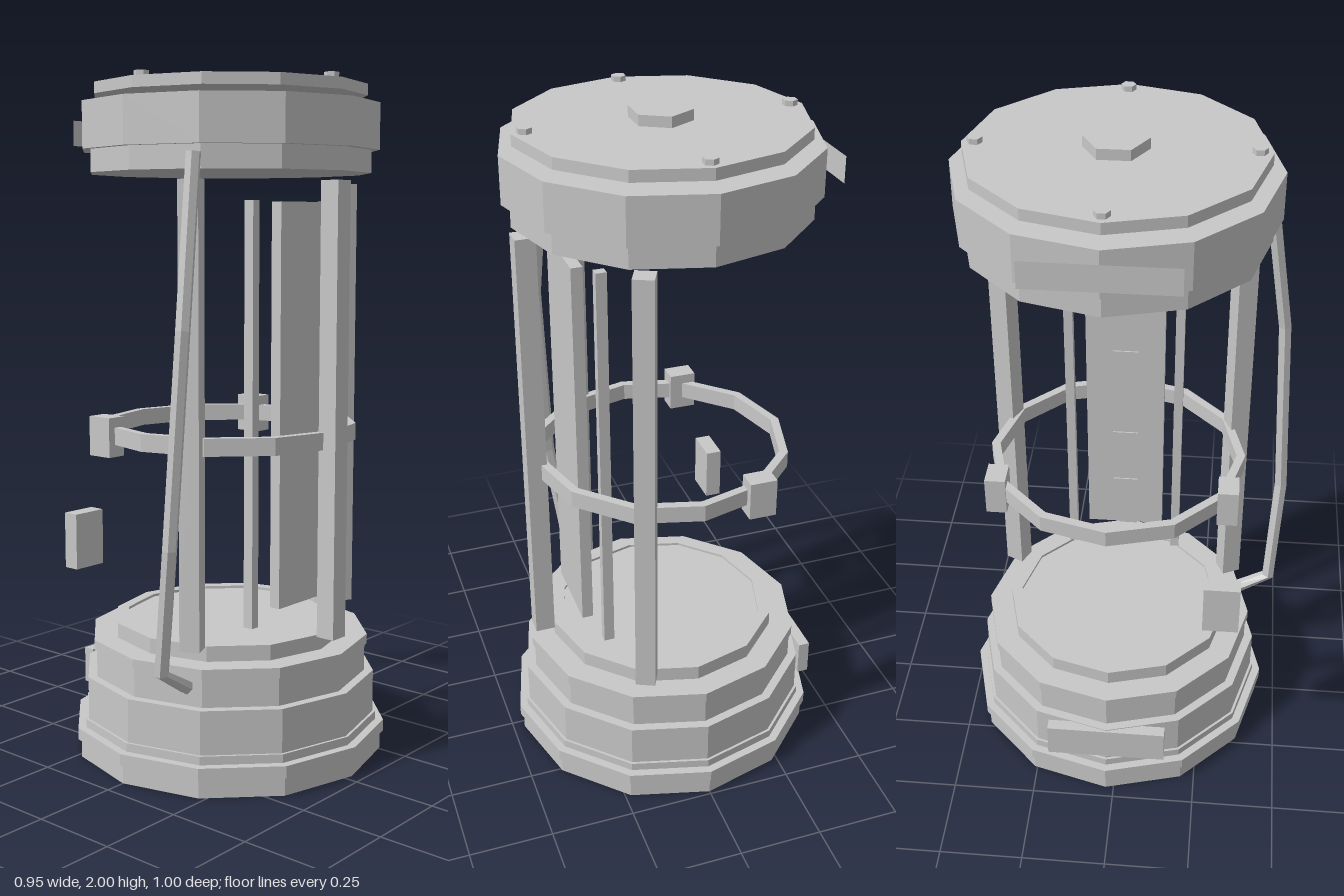
import * as THREE from 'three';

const grey = new THREE.MeshStandardMaterial({ color: 0xc8c8c8, flatShading: true, side: THREE.DoubleSide });
grey.name = 'plainGrey';

function add(parent, name, geometry, x = 0, y = 0, z = 0, turn = 0) {
  const mesh = new THREE.Mesh(geometry, grey);
  mesh.name = name;
  mesh.position.set(x, y, z);
  mesh.rotation.y = turn;
  parent.add(mesh);
  return mesh;
}

// Upright prism between two heights
function disc(parent, name, r, y0, y1, sides = 12, x = 0, z = 0) {
  return add(parent, name, new THREE.CylinderGeometry(r, r, y1 - y0, sides), x, (y0 + y1) / 2, z);
}

// Twelve-sided turned part from [radius, height] pairs
function turned(parent, name, profile) {
  const points = profile.map(([r, y]) => new THREE.Vector2(r, y));
  return add(parent, name, new THREE.LatheGeometry(points, 12));
}

// Curve with straight runs between its points
class Polyline extends THREE.Curve {
  constructor(points) { super(); this.points = points; }
  getPoint(t, target = new THREE.Vector3()) {
    const n = this.points.length - 1;
    const i = Math.min(Math.floor(t * n), n - 1);
    return target.lerpVectors(this.points[i], this.points[i + 1], t * n - i);
  }
  getPointAt(t, target) { return this.getPoint(t, target); }
  getTangentAt(t, target) { return this.getTangent(t, target); }
}

export function createModel() {
  const model = new THREE.Group();
  model.name = 'cylindricalChamber';
  const body = new THREE.Group();
  body.name = 'chamberBody';
  body.position.z = -0.025;
  model.add(body);

  // Stepped base with a shallow seat on top
  turned(body, 'base', [[0, 0], [0.465, 0], [0.465, 0.055], [0.475, 0.055], [0.475, 0.09], [0.45, 0.09],
    [0.45, 0.115], [0.442, 0.115], [0.442, 0.243], [0.415, 0.243], [0.415, 0.325], [0.422, 0.325],
    [0.422, 0.355], [0.35, 0.355], [0.35, 0.4], [0.315, 0.4], [0.315, 0.392], [0, 0.392]]);

  // Lid, raised top plate, hub and bolts
  turned(body, 'lid', [[0, 1.72], [0.415, 1.72], [0.415, 1.785], [0.438, 1.785], [0.438, 1.918], [0, 1.918]]);
  disc(body, 'topPlate', 0.402, 1.938, 1.97);
  disc(body, 'topHub', 0.088, 1.97, 2, 6);
  for (let i = 0; i < 4; i++) {
    const a = i * Math.PI / 2;
    disc(body, 'topBolt', 0.021, 1.97, 1.985, 6, 0.366 * Math.cos(a), 0.366 * Math.sin(a));
  }

  // Posts
  for (const deg of [-65, 0, 65]) {
    const a = THREE.MathUtils.degToRad(deg);
    add(body, 'post', new THREE.BoxGeometry(0.058, 1.295, 0.058),
      0.385 * Math.cos(a), 1.047, 0.385 * Math.sin(a), -a);
  }

  // Side panel with small slots
  add(body, 'panel', new THREE.BoxGeometry(0.033, 1.147, 0.243), 0.274, 1.063, 0);
  for (const y of [1.36, 1.17, 0.86, 0.67]) {
    add(body, 'panelSlot', new THREE.BoxGeometry(0.006, 0.01, 0.08), 0.256, y, 0);
  }

  // Middle ring with a flat section
  turned(body, 'middleRing', [[0.354, 0.945], [0.38, 0.945], [0.38, 0.995], [0.354, 0.995], [0.354, 0.945]]);

  // Rods beside the panel and clamps on the ring
  for (const s of [-1, 1]) {
    add(body, 'rod', new THREE.BoxGeometry(0.031, 1.205, 0.027), 0.225, 1.037, s * 0.168);
    add(body, 'ringClamp', new THREE.BoxGeometry(0.08, 0.115, 0.06), -0.18, 0.967, s * 0.335);
  }

  // Side plates and the loose block
  add(body, 'lidPlate', new THREE.PlaneGeometry(0.4, 0.075), -0.444, 1.845, 0, -Math.PI / 2);
  add(body, 'basePlate', new THREE.BoxGeometry(0.035, 0.11, 0.36), -0.43, 0.185, 0);
  add(model, 'sideBlock', new THREE.BoxGeometry(0.048, 0.165, 0.108), -0.283, 0.648, 0.308);

  // Bent cable down the front, closed at both ends
  const points = [[0.225, 1.76, 0.383], [0.248, 1.3, 0.452], [0.222, 0.72, 0.479],
    [0.172, 0.365, 0.46], [0.17, 0.3, 0.355]].map((p) => new THREE.Vector3(...p));
  add(model, 'cable', new THREE.TubeGeometry(new Polyline(points), points.length - 1, 0.021, 6));
  [[0, 1], [4, 3]].forEach(([end, next]) => {
    const cap = add(model, 'cableEnd', new THREE.CircleGeometry(0.021, 6), ...points[end].toArray());
    cap.lookAt(points[end].clone().multiplyScalar(2).sub(points[next]));
  });

  return model;
}
